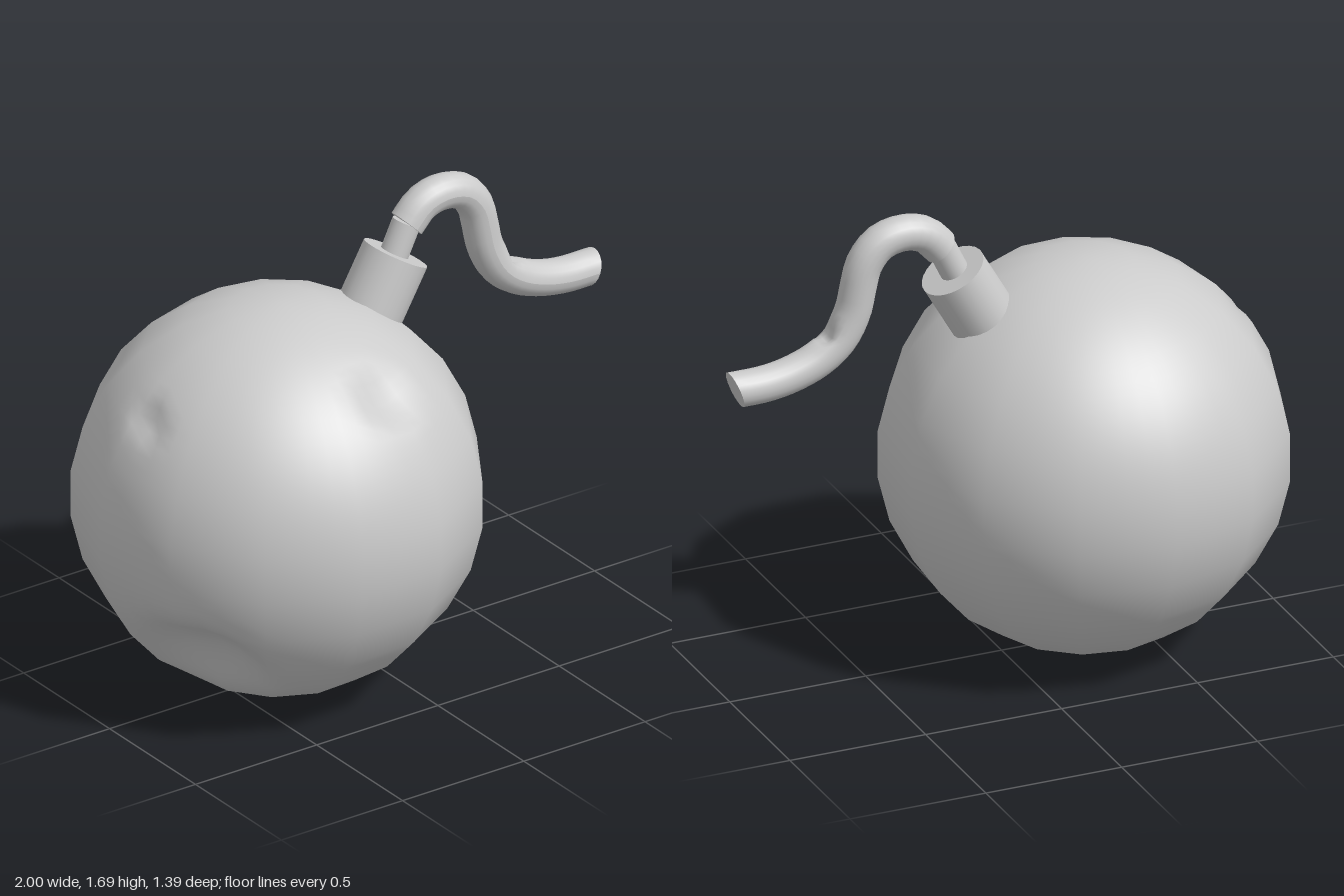
import * as THREE from 'three';
import { mergeVertices } from 'three/addons/utils/BufferGeometryUtils.js';

const R = 0.705, SIDES = 13, SUB = 4, PHASE = -0.075;
const V = (x, y, z = 0) => new THREE.Vector3(x, y, z);
const material = new THREE.MeshStandardMaterial({ color: 0xcccccc });

// Push the vertices around a point in along a direction, with a soft falloff
function dent(geometry, center, radius, push) {
  const pos = geometry.attributes.position, p = V(0, 0);
  for (let i = 0; i < pos.count; i++) {
    p.fromBufferAttribute(pos, i);
    const d = p.distanceTo(center) / radius;
    if (d < 1) {
      p.addScaledVector(push, (1 - d * d) ** 2);
      pos.setXYZ(i, p.x, p.y, p.z);
    }
  }
}

// Ball with a coarse 13-sided outline, smooth shading and battered spots
function ballGeometry() {
  const n = SIDES * SUB, arc = Math.PI * 2;
  const geo = new THREE.SphereGeometry(R, n, n, PHASE, arc);
  const pos = geo.attributes.position;
  const at = (row, col) => V(0, 0).fromBufferAttribute(pos, row * (n + 1) + col);

  // Offsets from the round surface to the flat facets
  const offsets = [];
  for (let r = 0; r <= n; r++) {
    for (let c = 0; c <= n; c++) {
      const r0 = Math.min(Math.floor(r / SUB) * SUB, n - SUB);
      const c0 = Math.min(Math.floor(c / SUB) * SUB, n - SUB);
      const t = (c - c0) / SUB;
      const a = at(r0, c0).lerp(at(r0, c0 + SUB), t);
      const b = at(r0 + SUB, c0).lerp(at(r0 + SUB, c0 + SUB), t);
      offsets.push(...a.lerp(b, (r - r0) / SUB).sub(at(r, c)).toArray());
    }
  }
  geo.setAttribute('offset', new THREE.Float32BufferAttribute(offsets, 3));
  geo.deleteAttribute('uv');
  geo.deleteAttribute('normal');
  const ball = mergeVertices(geo, 1e-4);

  // Direction of each dent, its radius and depth
  const dents = [
    [V(0.13, 0.5, 0.46), 0.17, 0.04],
    [V(-0.47, -0.42, 0.24), 0.3, 0.11],
    [V(-0.56, 0.42, 0.02), 0.09, 0.03],
  ];
  for (const [dir, radius, depth] of dents) {
    dir.normalize();
    dent(ball, dir.clone().multiplyScalar(R), radius, dir.clone().multiplyScalar(-depth));
  }
  ball.computeVertexNormals();

  const p = ball.attributes.position, o = ball.attributes.offset;
  for (let i = 0; i < p.count; i++) {
    p.setXYZ(i, p.getX(i) + o.getX(i), p.getY(i) + o.getY(i), p.getZ(i) + o.getZ(i));
  }
  ball.deleteAttribute('offset');
  return ball;
}

// Cylinder running from a to b
function rod(name, a, b, radius) {
  const axis = b.clone().sub(a);
  const mesh = new THREE.Mesh(new THREE.CylinderGeometry(radius, radius, axis.length(), 24), material);
  mesh.name = name;
  mesh.position.copy(a).lerp(b, 0.5);
  mesh.quaternion.setFromUnitVectors(V(0, 1), axis.normalize());
  return mesh;
}

// Bent fuse cord with a slanted, closed tip
function fuse() {
  const group = new THREE.Group();
  group.name = 'fuse';
  const path = new THREE.CatmullRomCurve3([
    V(0.225, 1.548), V(0.285, 1.607), V(0.365, 1.627), V(0.45, 1.605), V(0.505, 1.54),
    V(0.525, 1.47), V(0.548, 1.37), V(0.597, 1.28), V(0.67, 1.22), V(0.77, 1.18),
    V(0.87, 1.162), V(0.98, 1.16),
  ]);
  const radius = 0.063, segments = 33, sides = 20;
  const cord = new THREE.TubeGeometry(path, segments, radius, sides);
  dent(cord, V(0.645, 1.3), 0.06, V(-0.02, -0.03));
  cord.computeVertexNormals();

  // Slant the last ring, then close both ends with flat fans
  const pos = cord.attributes.position, ring = sides + 1;
  for (let i = segments * ring; i < pos.count; i++) {
    pos.setX(i, 0.98 + (pos.getY(i) - 1.16) * 0.33);
  }
  const cordMesh = new THREE.Mesh(cord, material);
  cordMesh.name = 'fuseCord';
  group.add(cordMesh);

  [[0, 'fuseStart'], [segments, 'fuseTip']].forEach(([row, name]) => {
    const points = [path.getPointAt(row / segments)];
    const index = [];
    for (let i = 0; i < ring; i++) {
      points.push(V(0, 0).fromBufferAttribute(pos, row * ring + i));
      if (i < sides) index.push(0, i + 1, i + 2);
    }
    const fan = new THREE.BufferGeometry().setFromPoints(points);
    // Turn the start fan so that it faces outwards
    const ab = points[1].clone().sub(points[0]), ac = points[2].clone().sub(points[0]);
    const outward = path.getTangentAt(row / segments).multiplyScalar(row ? 1 : -1);
    if (ab.cross(ac).dot(outward) < 0) index.reverse();
    fan.setIndex(index);
    fan.computeVertexNormals();
    const cap = new THREE.Mesh(fan, material);
    cap.name = name;
    group.add(cap);
  });
  return group;
}

export function createModel() {
  const model = new THREE.Group();
  model.name = 'roundBomb';

  const ball = new THREE.Mesh(ballGeometry(), material);
  ball.name = 'ball';
  ball.position.set(-0.305, R, 0);
  model.add(ball);

  // Neck on the shoulder of the ball, and the stub the fuse grows from
  model.add(rod('neck', V(0.03, 1.19), V(0.18, 1.45), 0.117));
  model.add(rod('fuseStub', V(0.15, 1.4), V(0.225, 1.555), 0.05));
  model.add(fuse());
  return model;
}
